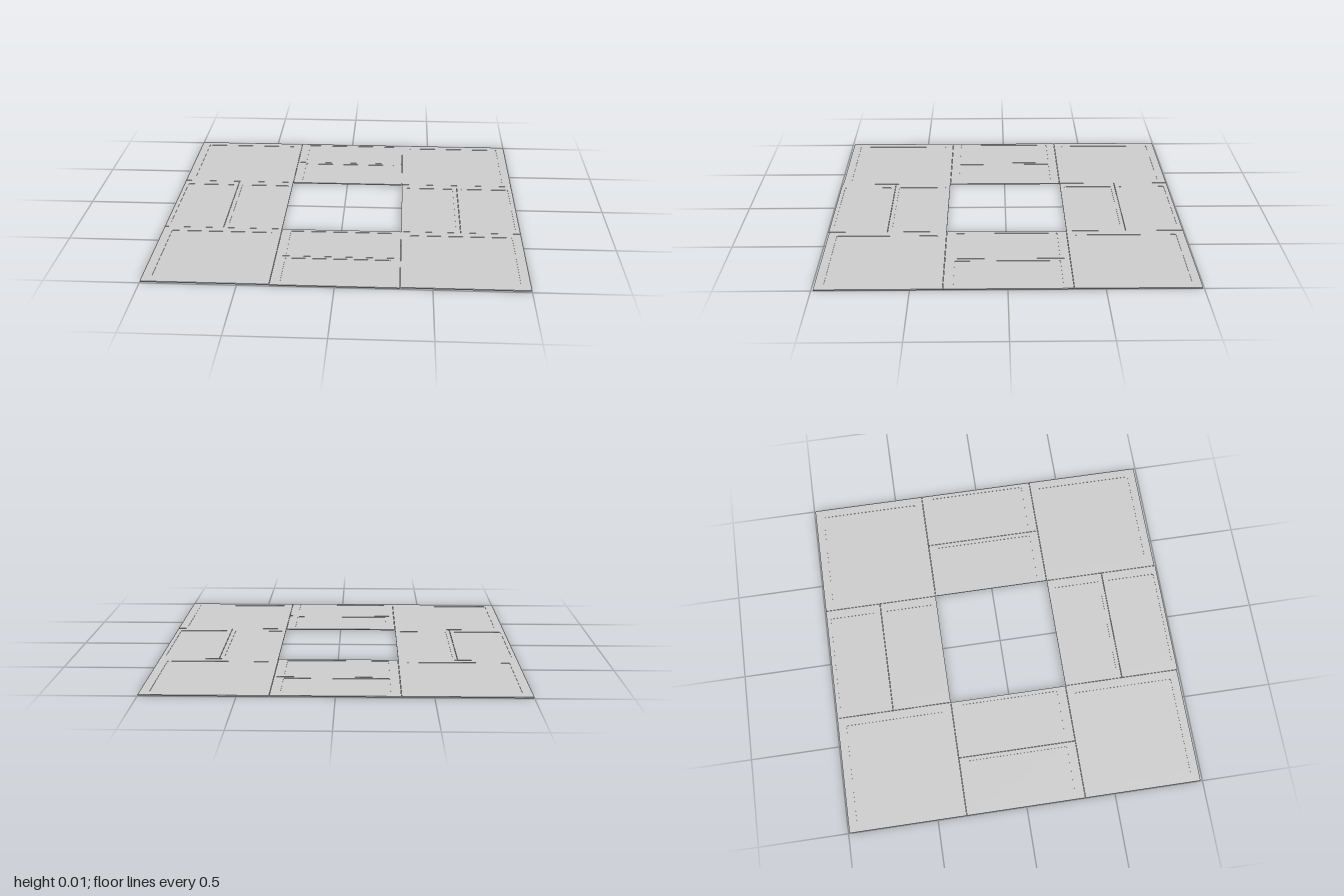
import * as THREE from 'three';

const HEIGHT = 0.006; // top of the tile rims
const FLOOR = 0.004;  // top of the recessed panels
const GAP = 0.001;    // half of the seam between tiles

const material = new THREE.MeshStandardMaterial({ color: 0xcccccc, flatShading: true });

// Rectangle outline around a centre, with slightly clipped corners
function outline(PathType, w, d, clip) {
  const x = w / 2, y = d / 2;
  return new PathType([
    [-x + clip, -y], [x - clip, -y], [x, -y + clip], [x, y - clip],
    [x - clip, y], [-x + clip, y], [-x, y - clip], [-x, -y + clip],
  ].map(([a, b]) => new THREE.Vector2(a, b)));
}

// Flat slab lying on the ground
function slab(shape, height, name) {
  const geometry = new THREE.ExtrudeGeometry(shape, { depth: height, bevelEnabled: false });
  geometry.rotateX(-Math.PI / 2);
  const mesh = new THREE.Mesh(geometry, material);
  mesh.name = name;
  return mesh;
}

// A tile: raised rim around a slightly sunken panel
function tile(name, x0, x1, z0, z1, insetX, insetZ) {
  const group = new THREE.Group();
  group.name = name;
  const w = x1 - x0 - 2 * GAP, d = z1 - z0 - 2 * GAP;
  const pw = w - 2 * insetX, pd = d - 2 * insetZ;
  const rim = outline(THREE.Shape, w, d, 0.003);
  rim.holes.push(outline(THREE.Path, pw, pd, 0.006));
  group.add(slab(rim, HEIGHT, 'rim'));
  group.add(slab(outline(THREE.Shape, pw, pd, 0.006), FLOOR, 'panel'));
  group.position.set((x0 + x1) / 2, 0, (z0 + z1) / 2);
  return group;
}

export function createModel() {
  const model = new THREE.Group();
  model.name = 'squareTileRing';

  // Grid lines of the ring; the depth is a touch shorter than the width
  const xs = [-1, -0.667, -0.334, 0.334, 0.667, 1];
  const zs = [-0.995, -0.672, -0.338, 0.332, 0.665, 0.995];

  // Large corner tiles
  for (const i of [0, 3]) {
    for (const j of [0, 3]) {
      const z1 = j ? 0.99 : zs[2];
      model.add(tile('cornerTile', xs[i], xs[i + 2], zs[j], z1, 0.05, 0.047));
    }
  }

  // Pairs of half tiles along each side
  for (const i of [0, 1, 3, 4]) {
    model.add(tile('sideHalfTile', xs[i], xs[i + 1], zs[2], zs[3], 0.024, 0.052));
    model.add(tile('endHalfTile', xs[2], xs[3], zs[i], zs[i + 1], 0.052, 0.023));
  }
  return model;
}
